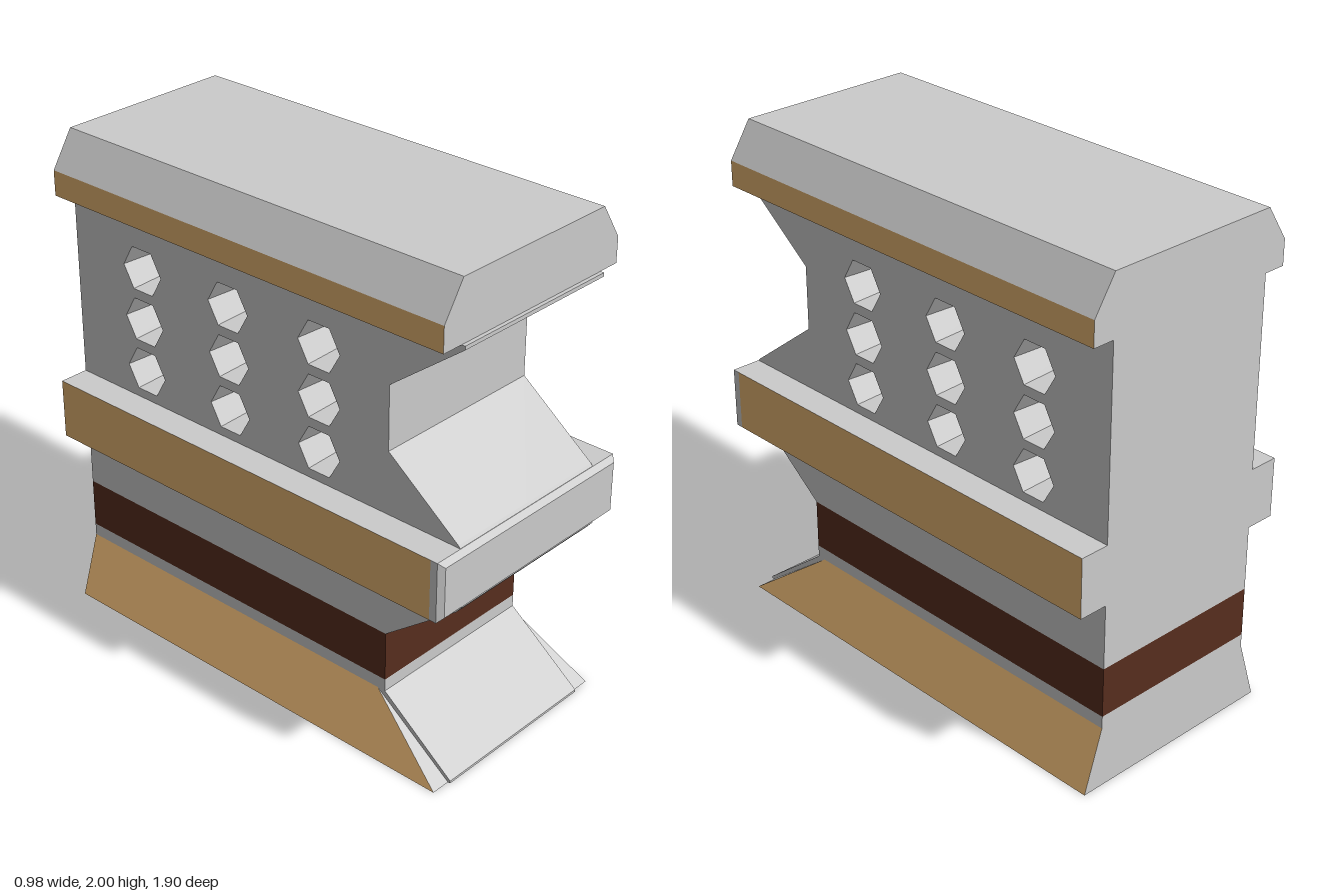
import * as THREE from 'three';

const material = (color) => new THREE.MeshStandardMaterial({ color, flatShading: true });
const grey = material(0xcccccc);
const tan = material(0xe6b573);
const brown = material(0x572d1e);

const HALF = 0.37;   // half width of the core
const BACK = -0.95;

function add(group, name, geometry, mat) {
  const mesh = new THREE.Mesh(geometry, mat);
  mesh.name = name;
  group.add(mesh);
}

// Box from limits
function block(halfWidth, y0, y1, z0, z1) {
  return new THREE.BoxGeometry(halfWidth * 2, y1 - y0, z1 - z0)
    .translate(0, (y0 + y1) / 2, (z0 + z1) / 2);
}

// Move every vertex of a geometry by a rule
function reshape(geometry, rule) {
  const pos = geometry.attributes.position;
  const v = new THREE.Vector3();
  for (let i = 0; i < pos.count; i++) {
    rule(v.fromBufferAttribute(pos, i));
    pos.setXYZ(i, v.x, v.y, v.z);
  }
  geometry.computeVertexNormals();
  return geometry;
}

// Side profile of (z, y) points, extruded across the width, with holes
function sideProfile(points, holes = []) {
  const shape = new THREE.Shape(points.map(([z, y]) => new THREE.Vector2(z, y)));
  for (const [z, y, r] of holes) {
    const corners = [];
    for (let i = 0; i < 6; i++) {
      const a = -i * Math.PI / 3;
      corners.push(new THREE.Vector2(z + r * Math.cos(a), y + r * Math.sin(a)));
    }
    shape.holes.push(new THREE.Path(corners));
  }
  const geometry = new THREE.ExtrudeGeometry(shape, { depth: HALF * 2, steps: 2, bevelEnabled: false });
  return geometry.translate(0, 0, -HALF).rotateY(-Math.PI / 2);
}

export function createModel() {
  const model = new THREE.Group();
  model.name = 'notchedBlock';
  const tanSides = [tan, tan, grey, grey, grey, grey];

  // Foot of the core with a sloping front
  add(model, 'coreFoot', sideProfile([
    [BACK, 0], [0.92, 0], [0.92, 0.01], [0.605, 0.25], [0.605, 0.3], [BACK, 0.3],
  ]), grey);

  // Flared skirt on both sides of the foot
  add(model, 'skirt', reshape(block(0.45, 0, 0.25, BACK, 0.91), (v) => {
    if (v.y > 0.1) {
      v.x = Math.sign(v.x) * HALF;
      if (v.z > 0) v.z = 0.57;
    }
  }), tanSides);

  // Dark band around the core
  add(model, 'darkBand', block(HALF, 0.3, 0.5, BACK, 0.605), brown);

  // Notched core with hexagonal holes that narrow towards the middle
  const holes = [];
  for (const z of [0.283, -0.156, -0.596])
    for (const y of [1.12, 1.327, 1.535]) holes.push([z, y, 0.098]);
  const core = sideProfile([
    [BACK, 0.5], [0.605, 0.5], [0.92, 0.74], [0.945, 0.77], [0.945, 0.98], [0.92, 1.01],
    [0.605, 1.25], [0.605, 1.505], [0.92, 1.745], [0.92, 1.76], [BACK, 1.76],
  ], holes);
  add(model, 'core', reshape(core, (v) => {
    if (Math.abs(v.x) > 0.01) return;
    for (const [z, y, r] of holes) {
      if (Math.hypot(v.z - z, v.y - y) < r * 1.05) {
        v.z = z + (v.z - z) * 0.74;
        v.y = y + (v.y - y) * 0.74;
        return;
      }
    }
  }), grey);

  // Belt with tan sides and a bevelled grey nose
  add(model, 'belt', block(0.49, 0.76, 1, BACK, 0.9), tanSides);
  add(model, 'beltNose', block(0.49, 0.76, 1, 0.9, 0.93), grey);
  add(model, 'beltNoseBevel', reshape(block(0.49, 0.76, 1, 0.93, 0.95), (v) => {
    if (v.z > 0.94) {
      v.x -= Math.sign(v.x) * 0.02;
      v.y += v.y > 0.88 ? -0.02 : 0.02;
    }
  }), grey);

  // Cap: tan rim below a chamfered top
  add(model, 'capRim', block(0.46, 1.76, 1.86, BACK, 0.905), tanSides);
  add(model, 'capTop', reshape(block(0.46, 1.86, 2, BACK, 0.905), (v) => {
    if (v.y > 1.9) v.x = Math.sign(v.x) * HALF;
  }), grey);

  return model;
}
